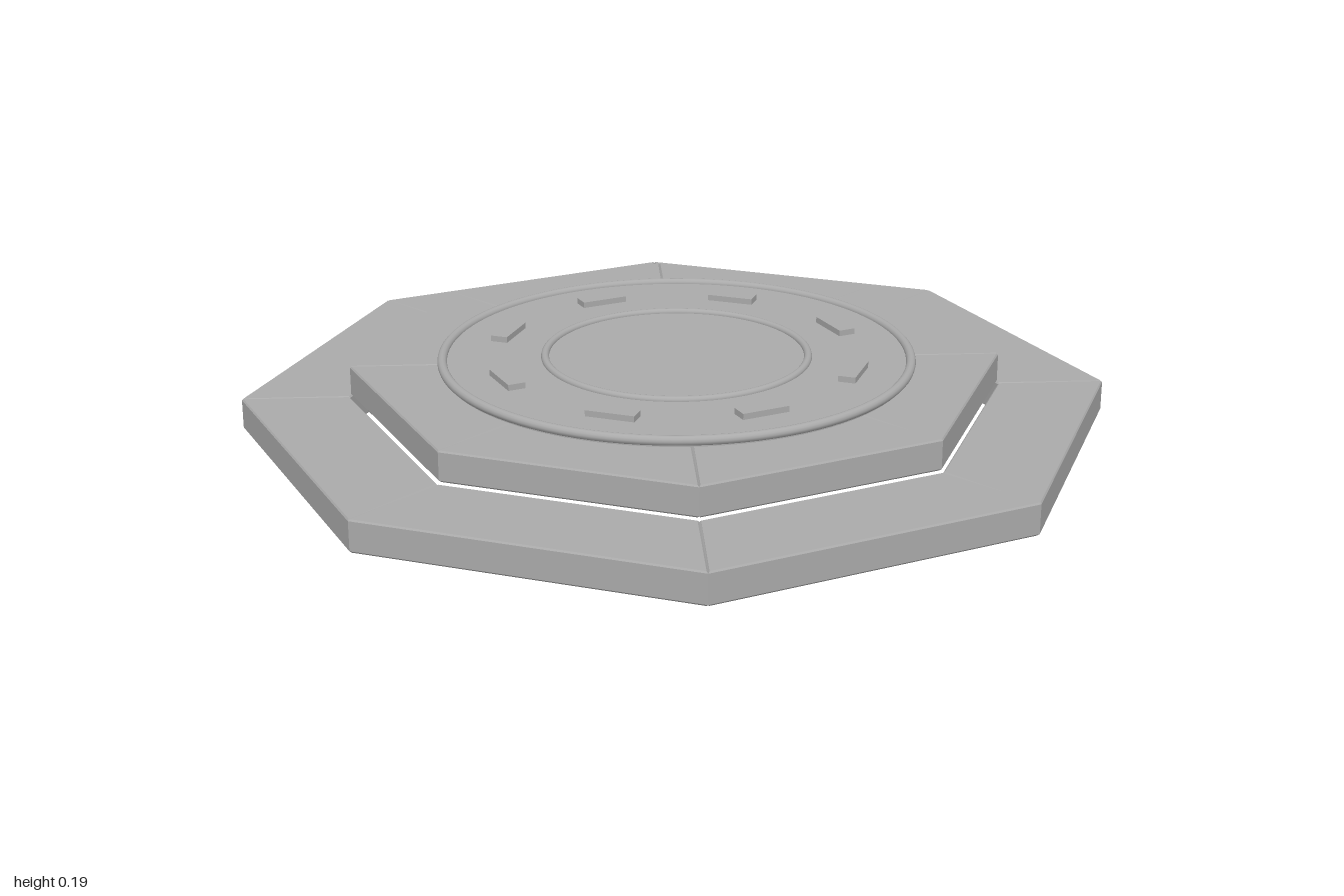
import * as THREE from 'three';

const SIDES = 8;
const TAN = Math.tan(Math.PI / SIDES);
const BEVEL = 0.004;

// One bevelled trapezoid block of an octagonal ring, lying flat from y = 0 to height
function blockGeometry(inner, outer, height) {
  const shape = new THREE.Shape([
    new THREE.Vector2(-inner * TAN, inner),
    new THREE.Vector2(inner * TAN, inner),
    new THREE.Vector2(outer * TAN, outer),
    new THREE.Vector2(-outer * TAN, outer),
  ]);
  const geo = new THREE.ExtrudeGeometry(shape, {
    depth: height - 2 * BEVEL,
    bevelThickness: BEVEL,
    bevelSize: BEVEL,
    bevelOffset: -BEVEL,
    bevelSegments: 1,
  });
  geo.translate(0, 0, BEVEL);
  geo.rotateX(-Math.PI / 2);
  return geo;
}

export function createModel() {
  const model = new THREE.Group();
  model.name = 'octagonalPlatform';

  const stone = new THREE.MeshStandardMaterial({ color: 0xaaaaaa });
  stone.name = 'grey';

  function add(parent, name, geometry, y = 0) {
    const mesh = new THREE.Mesh(geometry, stone);
    mesh.name = name;
    mesh.position.y = y;
    parent.add(mesh);
    return mesh;
  }

  // Eight copies of a part turned around the centre
  function addRing(name, partName, geometry, y) {
    const ring = new THREE.Group();
    ring.name = name;
    for (let i = 0; i < SIDES; i++) {
      add(ring, partName, geometry, y).rotation.y = (i * Math.PI * 2) / SIDES;
    }
    model.add(ring);
  }

  // Two hollow steps
  addRing('lowerStep', 'lowerStepBlock', blockGeometry(0.753, 1, 0.08), 0);
  addRing('upperStep', 'upperStepBlock', blockGeometry(0.53, 0.75, 0.077), 0.083);

  // Round plate with a raised rim and an inner ring
  add(model, 'plate', new THREE.CylinderGeometry(0.585, 0.585, 0.015, 96), 0.1675);
  add(model, 'plateRim', new THREE.TorusGeometry(0.583, 0.012, 12, 96).rotateX(Math.PI / 2), 0.175);
  add(model, 'innerRing', new THREE.TorusGeometry(0.328, 0.01, 12, 96).rotateX(Math.PI / 2), 0.176);

  // Small raised pads around the plate
  const pad = new THREE.BoxGeometry(0.122, 0.016, 0.044).translate(0, 0, 0.455);
  addRing('pads', 'pad', pad, 0.182);

  return model;
}
